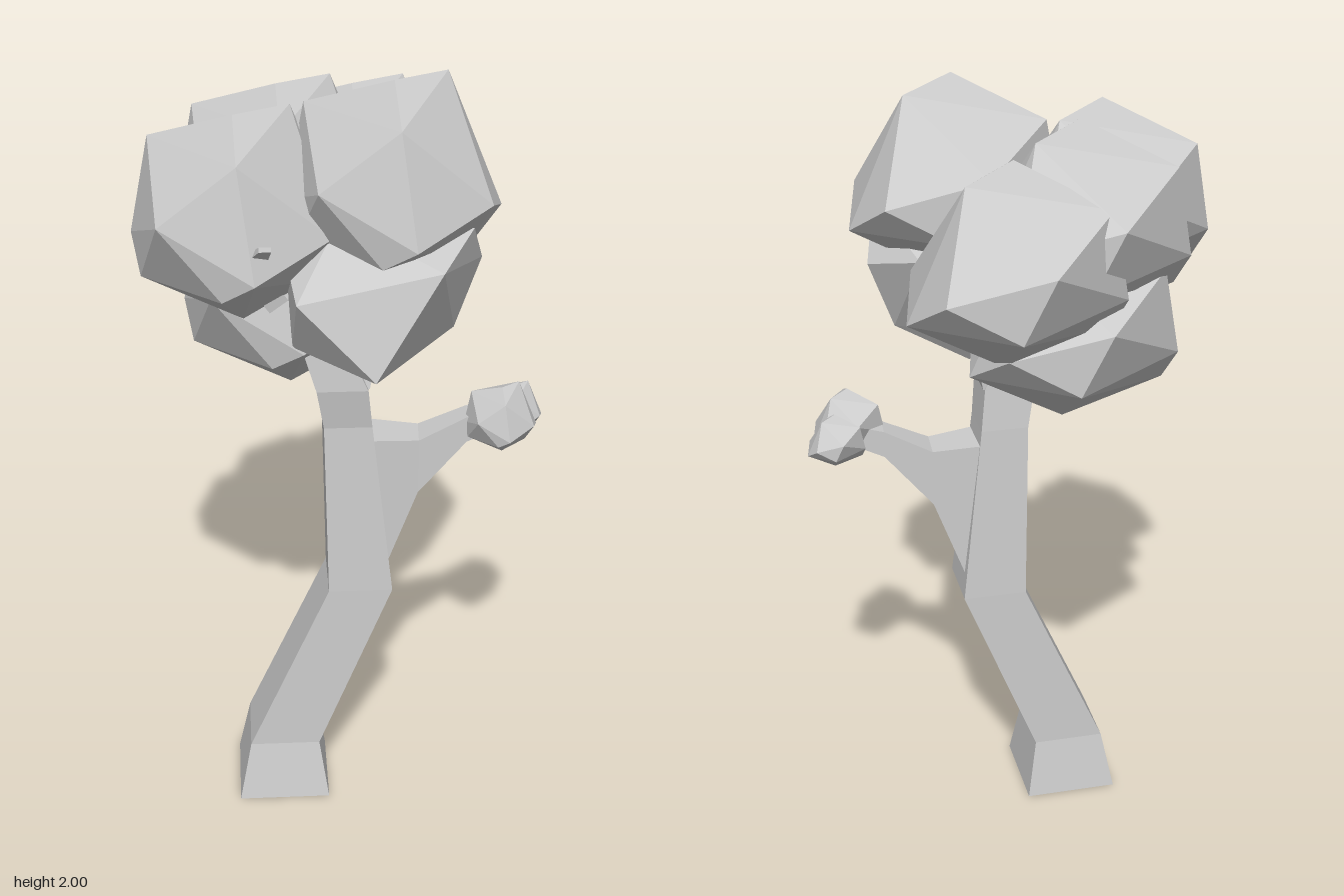
import * as THREE from 'three';
import { ConvexGeometry } from 'three/addons/geometries/ConvexGeometry.js';

const V = (x, y, z) => new THREE.Vector3(x, y, z);

// Skin of flat quads over rings of four corners, with both ends capped
function loft(rings) {
  const pos = [];
  const quad = (a, b, c, d) => [a, b, c, a, c, d].forEach(p => pos.push(p.x, p.y, p.z));
  for (let s = 0; s < rings.length - 1; s++) {
    for (let i = 0; i < 4; i++) {
      const j = (i + 1) % 4;
      quad(rings[s][i], rings[s][j], rings[s + 1][j], rings[s + 1][i]);
    }
  }
  const [a, b, c, d] = rings[0];
  quad(d, c, b, a);
  quad(...rings[rings.length - 1]);
  const g = new THREE.BufferGeometry();
  g.setAttribute('position', new THREE.Float32BufferAttribute(pos, 3));
  g.computeVertexNormals();
  return g;
}

// Level diamond ring: centre and radius
const diamond = ([x, y, z, r]) => [0, 1, 2, 3].map(i => {
  const t = i * Math.PI / 2 + 0.06;
  return V(x + r * Math.cos(t), y, z - r * Math.sin(t));
});

// Upright ring facing the back left: centre, half width, half height
const upright = ([x, y, z, w, h]) => [[1, 1], [-1, 1], [-1, -1], [1, -1]]
  .map(([u, v]) => V(x - u * w * 0.707, y + v * h, z - u * w * 0.707));

// Faceted leaf clump shared by most of the crown
const CLUMP = [
  [0.02, 0.245, -0.135], [0.015, 0.26, 0.04], [-0.215, 0.17, 0.105], [-0.225, -0.06, 0.16],
  [-0.005, 0.04, 0.262], [0.13, 0.19, 0.135], [0.2, -0.075, 0.15], [0.225, -0.015, -0.075],
  [0.125, -0.08, -0.22], [-0.02, 0.01, -0.26], [-0.235, 0.09, -0.145], [0.025, -0.25, 0.03],
  [-0.165, -0.15, 0.185], [0.12, -0.13, 0.18], [0.14, -0.15, -0.08], [-0.17, -0.07, -0.18],
];

// Broader low clump on the left of the crown
const LOW_CLUMP = [
  [0.4, 1.625, 0.065], [0.31, 1.36, 0.19], [0.125, 1.52, 0.265], [0.125, 1.265, 0],
  [0.34, 1.67, -0.1], [0.28, 1.55, -0.2], [0.25, 1.375, -0.14], [0, 1.58, 0.18],
  [0.02, 1.35, 0.18], [-0.02, 1.36, 0], [0.1, 1.68, 0.1], [0.1, 1.6, -0.22], [-0.03, 1.62, -0.1],
];

export function createModel() {
  const model = new THREE.Group();
  model.name = 'tree';
  const material = new THREE.MeshStandardMaterial({ color: 0xcccccc, flatShading: true });
  const add = (name, geometry) => {
    const mesh = new THREE.Mesh(geometry, material);
    mesh.name = name;
    model.add(mesh);
    return mesh;
  };
  const hull = pts => new ConvexGeometry(pts.map(p => V(...p)));

  // Leaning trunk with a flared foot
  add('trunk', loft([
    [-0.07, 0, 0.15, 0.17], [-0.07, 0.16, 0.145, 0.13], [0.065, 0.64, -0.005, 0.116],
    [0.045, 1.11, 0.02, 0.085], [0.045, 1.22, 0.04, 0.09], [0.01, 1.36, 0.08, 0.075],
  ].map(diamond)));

  // Forks inside the crown; the tip of the front one pokes out of the leaves
  add('frontFork', loft([
    [0, 1.33, 0.085, 0.06], [-0.06, 1.5, 0.2, 0.045], [0.03, 1.62, 0.3, 0.035],
    [0.11, 1.68, 0.345, 0.02],
  ].map(diamond)));
  add('backFork', loft([
    [0.05, 1.22, 0.03, 0.08], [0.07, 1.4, -0.02, 0.06], [0.09, 1.6, -0.06, 0.035],
  ].map(diamond)));

  // Side branch growing out of the trunk
  add('sideBranch', loft([
    [0.08, 0.82, -0.02, 0.06, 0.25], [0.165, 0.985, -0.115, 0.045, 0.075],
    [0.25, 1.085, -0.2, 0.032, 0.035], [0.32, 1.12, -0.27, 0.025, 0.025],
  ].map(upright)));

  // Leaf clumps: centre and scale
  const clump = hull(CLUMP);
  const clumps = {
    topLeftClump: [0.145, 1.74, -0.055, 1],
    backClump: [-0.15, 1.625, -0.215, 1],
    rightClump: [-0.18, 1.67, 0.01, 1],
    frontClump: [-0.11, 1.66, 0.21, 1],
    lowRightClump: [-0.15, 1.41, 0.02, 1],
    branchClump: [0.335, 1.12, -0.24, 0.35],
    branchTipClump: [0.31, 1.105, -0.317, 0.28],
  };
  for (const [name, [x, y, z, s]] of Object.entries(clumps)) {
    const mesh = add(name, clump);
    mesh.position.set(x, y, z);
    mesh.scale.setScalar(s);
  }
  add('lowLeftClump', hull(LOW_CLUMP));

  return model;
}
